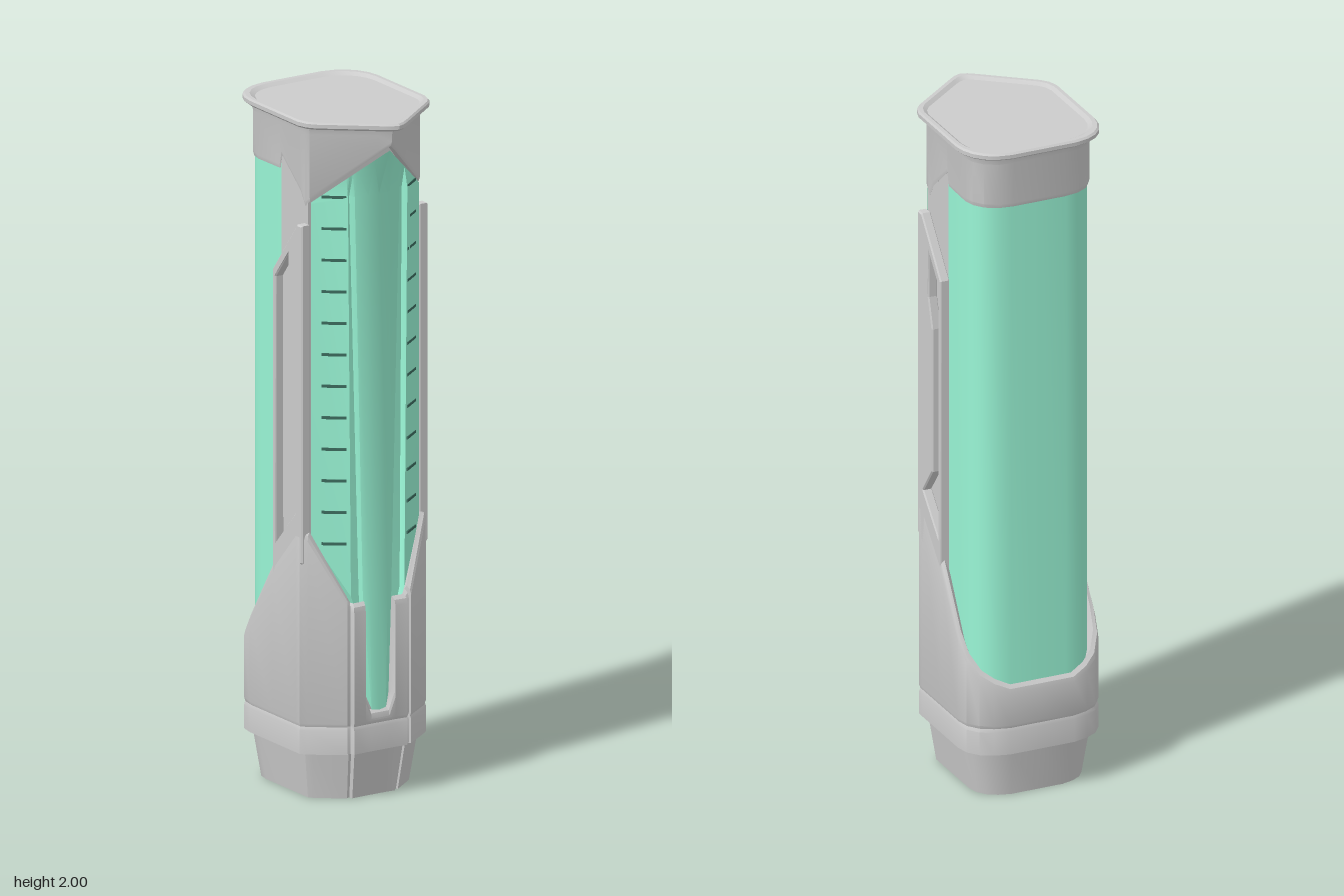
import * as THREE from 'three';
import { mergeVertices, toCreasedNormals } from 'three/addons/utils/BufferGeometryUtils.js';

const grey = new THREE.MeshStandardMaterial({ color: 0xcccccc, side: THREE.DoubleSide });
const mint = new THREE.MeshStandardMaterial({ color: 0x99f5d5, side: THREE.DoubleSide });
const slit = new THREE.MeshStandardMaterial({ color: 0x3c6b5e });

// Skin over vertical columns of points (each column runs top to bottom, columns run front -> +x -> back)
function skin(columns, closed) {
  const rows = columns[0].length, idx = [], n = columns.length;
  for (let i = 0; i < (closed ? n : n - 1); i++) {
    for (let j = 0; j < rows - 1; j++) {
      const a = i * rows + j, b = ((i + 1) % n) * rows + j;
      idx.push(a, a + 1, b + 1, a, b + 1, b);
    }
  }
  const geo = new THREE.BufferGeometry();
  geo.setAttribute('position', new THREE.Float32BufferAttribute(columns.flat(2), 3));
  geo.setIndex(idx);
  return toCreasedNormals(mergeVertices(geo), 0.45);
}

// Half outline from front centre to back centre, mirrored to a full loop
const mirror = half => [...half, ...half.slice(1, -1).reverse().map(([x, ...r]) => [-x, ...r])];

export function createModel() {
  const model = new THREE.Group();
  const add = (name, geo, mat = grey) => {
    const m = new THREE.Mesh(geo, mat);
    m.name = name;
    model.add(m);
    return m;
  };

  // Lower body with stepped rim, tapered foot and hollow underside: [x, z, rim height]
  const baseLine = mirror([
    [0, 0.18, 0.25], [0.03, 0.18, 0.25], [0.05, 0.18, 0.3], [0.05, 0.18, 0.57],
    [0.09, 0.182, 0.57], [0.093, 0.168, 0.57], [0.103, 0.168, 0.58], [0.107, 0.174, 0.59],
    [0.198, 0.108, 0.78], [0.213, 0.09, 0.79], [0.213, 0.07, 0.79], [0.213, -0.05, 0.66],
    [0.213, -0.165, 0.485], [0.205, -0.205, 0.43], [0.18, -0.238, 0.385],
    [0.145, -0.258, 0.36], [0.1, -0.27, 0.34], [0, -0.27, 0.34],
  ]);
  const zc = -0.05;
  const at = (x, z, y, sx, sz = sx) => [x * sx, y, zc + (z - zc) * sz];
  add('lowerBody', skin(baseLine.map(([x, z, t]) => [
    at(x, z, t - 0.03, 0.86), at(x, z, t + 0.01, 0.94), at(x, z, t, 0.985), at(x, z, t - 0.015, 1),
    at(x, z, 0.23, 1), at(x, z, 0.22, 0.985), at(x, z, 0.21, 1), at(x, z, 0.14, 1),
  ]), true));
  add('foot', skin(baseLine.map(([x, z]) => [
    at(x, z, 0.14, 1), at(x, z, 0.14, 0.89, 0.94), at(x, z, 0, 0.8, 0.84),
    at(x, z, 0, 0.62), at(x, z, 0.09, 0.58), [0, 0.09, zc],
  ]), true));
  const plug = add('footPlug', new THREE.CylinderGeometry(0.07, 0.07, 0.04, 24), mint);
  plug.position.set(0, 0.075, zc);

  // Inner column
  const column = add('innerColumn', new THREE.BoxGeometry(0.37, 1.8, 0.14));
  column.position.set(0, 1.06, 0.02);

  // Raised side frames with a sloped top and a recessed window
  const frame = new THREE.Shape([
    [0.1, 0.7], [0.1, 1.69], [0.075, 1.69], [-0.05, 1.53], [-0.05, 0.6],
  ].map(p => new THREE.Vector2(...p)));
  frame.holes.push(new THREE.Path([
    [0.065, 0.84], [-0.035, 0.73], [-0.035, 1.51], [0.03, 1.595], [0.03, 1.45], [0.005, 1.36], [0.005, 0.92],
  ].map(p => new THREE.Vector2(...p))));
  for (const s of [1, -1]) {
    const geo = new THREE.ExtrudeGeometry(frame, {
      depth: 0.022, bevelThickness: 0.004, bevelSize: 0.004, bevelOffset: -0.004, bevelSegments: 1,
    });
    geo.rotateY(-Math.PI / 2);
    geo.translate(s > 0 ? 0.209 : -0.187, 0, 0);
    add(s > 0 ? 'leftSideFrame' : 'rightSideFrame', geo);
  }

  // Front panel: central ridge, grooves beside it and sloping wings, with a pointed prow on top
  // [x at bottom, x at top, z, bottom height]
  const half = [
    [0, 0, 0.172, 0.255], [0.03, 0.035, 0.171, 0.26], [0.048, 0.075, 0.162, 0.3],
    [0.053, 0.085, 0.148, 0.5], [0.085, 0.092, 0.148, 0.53], [0.09, 0.1, 0.165, 0.55],
    [0.182, 0.182, 0.1, 0.75],
  ];
  const panel = [...half.slice(1).reverse().map(([a, b, ...r]) => [-a, -b, ...r]), ...half];
  add('frontPanel', skin(panel.map(([a, b, z, y0]) => {
    const top = 1.91 - 0.85 * Math.abs(b), mid = Math.min(1.77, top - 0.005);
    return [[b, top, 0.227 - 0.7 * Math.abs(b)], [b, mid, z], [a, Math.max(0.6, y0 + 0.02), z], [a * 0.8, y0, z]];
  }), false), mint);

  // Measuring slits on both wings
  const tilt = Math.atan2(0.065, 0.085);
  for (let i = 0; i < 12; i++) {
    for (const s of [1, -1]) {
      const m = add('panelSlit', new THREE.BoxGeometry(0.07, 0.008, 0.004), slit);
      m.position.set(s * 0.13, 0.755 + i * 0.0925, 0.139);
      m.rotation.y = s * tilt;
    }
  }

  // Rounded back panel
  const back = mirror([
    [0, -0.045], [0.185, -0.045], [0.185, -0.15], [0.181, -0.18], [0.168, -0.207],
    [0.148, -0.227], [0.12, -0.24], [0.085, -0.245], [0, -0.245],
  ]);
  add('backPanel', skin(back.map(([x, z]) => [[x, 1.86, z], [x, 0.3, z]]), true), mint);

  // Collar beneath the cap: [x, z, lower edge height]
  const collar = mirror([
    [0, 0.237, 1.925], [0.03, 0.215, 1.9], [0.186, 0.1, 1.76], [0.188, 0.08, 1.74], [0.188, 0.055, 1.78],
    [0.188, -0.04, 1.86], [0.188, -0.05, 1.82], [0.19, -0.16, 1.82], [0.182, -0.195, 1.82],
    [0.16, -0.225, 1.82], [0.125, -0.245, 1.82], [0.08, -0.252, 1.82], [0, -0.252, 1.82],
  ]);
  add('collar', skin(collar.map(([x, z, b]) => [
    at(x, z, 1.985, 1.04), at(x, z, 1.955, 1), at(x, z, b + 0.012, 1), at(x, z, b, 0.985), at(x, z, b, 0.9),
  ]), true));

  // Shield-shaped cap with a bevelled lip
  const cap = mirror([
    [0, 0.277], [0.02, 0.27], [0.04, 0.256], [0.19, 0.138], [0.208, 0.115], [0.217, 0.085], [0.217, -0.16],
    [0.211, -0.196], [0.196, -0.228], [0.172, -0.254], [0.142, -0.271], [0.1, -0.28], [0, -0.28],
  ]);
  const capAt = (x, z, y, s) => [x * s, y, z * s];
  add('cap', skin(cap.map(([x, z]) => [
    [0, 1.992, 0], capAt(x, z, 1.992, 0.88), capAt(x, z, 2, 0.93), capAt(x, z, 2, 0.98),
    capAt(x, z, 1.995, 1), capAt(x, z, 1.984, 1), capAt(x, z, 1.978, 0.97), [0, 1.978, 0],
  ]), true));

  return model;
}
